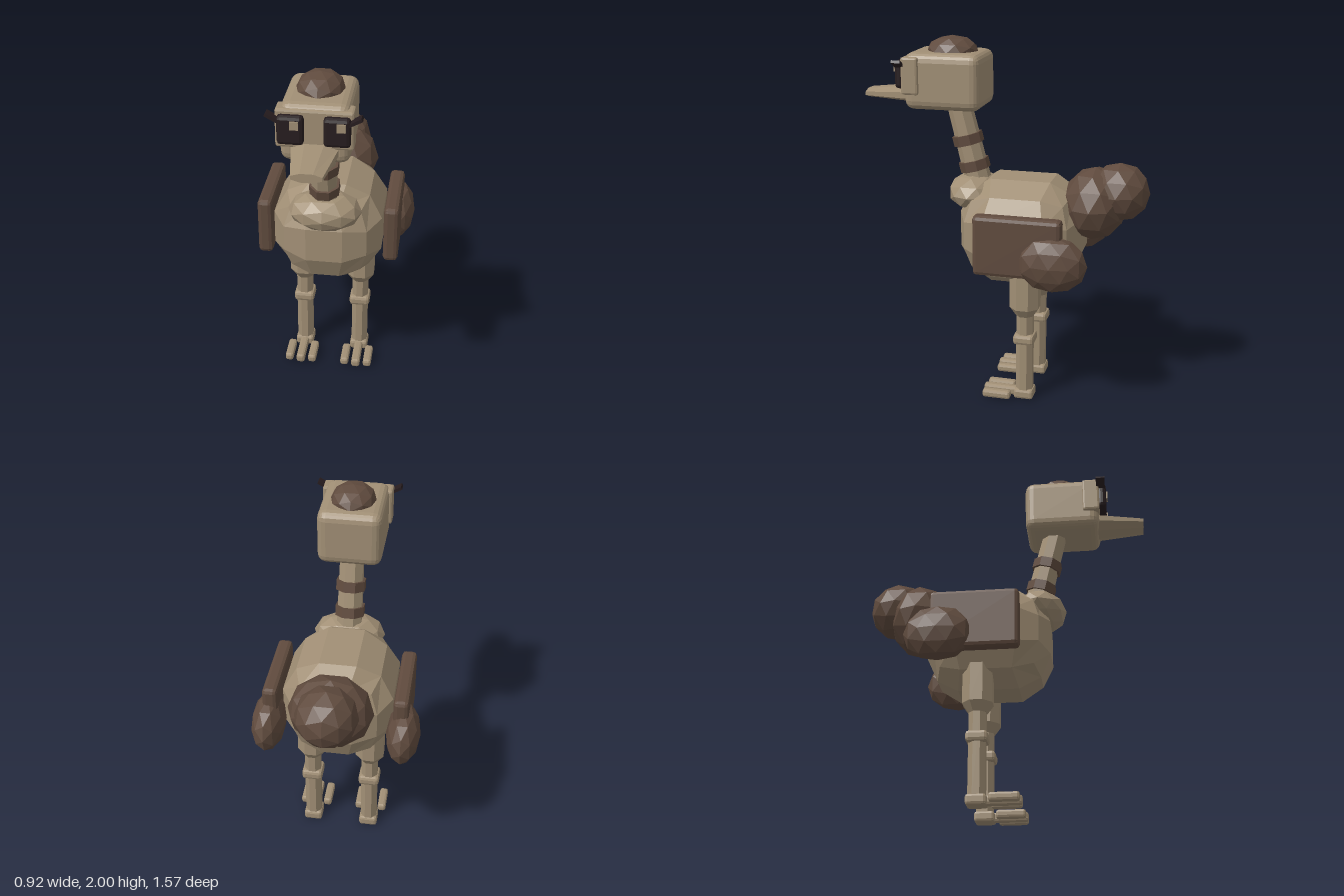
import * as THREE from 'three';
import { RoundedBoxGeometry } from 'three/addons/geometries/RoundedBoxGeometry.js';

const mat = (name, color) => {
  const m = new THREE.MeshStandardMaterial({ color });
  m.name = name;
  return m;
};

// Faceted copy of a geometry
function facet(geometry) {
  const g = geometry.index ? geometry.toNonIndexed() : geometry;
  g.computeVertexNormals();
  return g;
}

function part(parent, name, geometry, material, x = 0, y = 0, z = 0) {
  const mesh = new THREE.Mesh(facet(geometry), material);
  mesh.name = name;
  mesh.position.set(x, y, z);
  parent.add(mesh);
  return mesh;
}

const puff = (rx, ry, rz) => new THREE.IcosahedronGeometry(1, 1).scale(rx, ry, rz);
const block = (w, h, d, r, seg = 1) => new RoundedBoxGeometry(w, h, d, seg, r);

// Eight-sided post with flat faces to the front and sides; r is the half width
function post(rTop, rBottom, h) {
  const k = 1 / Math.cos(Math.PI / 8);
  return new THREE.CylinderGeometry(rTop * k, rBottom * k, h, 8).rotateY(Math.PI / 8);
}

// Cube grid rounded into a ball and lengthened along z
function bodyGeometry() {
  const g = new THREE.BoxGeometry(2, 2, 2, 3, 3, 3);
  const p = g.attributes.position;
  const v = new THREE.Vector3();
  for (let i = 0; i < p.count; i++) {
    v.fromBufferAttribute(p, i).normalize();
    p.setXYZ(i, v.x * 0.33, v.y * 0.325, Math.sign(v.z) * Math.abs(v.z) ** 0.65 * 0.36);
  }
  return g;
}

export function createModel() {
  const tan = mat('tan', 0xa18f75);
  const brown = mat('brown', 0x604b3e);
  const black = mat('black', 0x271d1f);
  const bird = new THREE.Group();
  bird.name = 'bird';

  // Body, chest and tail
  part(bird, 'body', bodyGeometry(), tan, 0, 0.953, -0.1);
  part(bird, 'chestPuff', puff(0.2, 0.105, 0.15), tan, 0, 1.15, 0.175);
  part(bird, 'tailBase', puff(0.225, 0.2, 0.175), brown, 0, 1.125, -0.495);
  part(bird, 'tailTip', puff(0.165, 0.16, 0.165), brown, 0, 1.195, -0.625);

  // Leaning neck with two bands
  const neck = new THREE.Group();
  neck.name = 'neck';
  neck.position.set(0, 1.44, 0.22);
  neck.rotation.x = Math.atan(0.25);
  bird.add(neck);
  part(neck, 'neckTube', post(0.062, 0.068, 0.5), tan, 0, -0.01, 0);
  for (const y of [0, -0.148]) part(neck, 'neckBand', post(0.078, 0.078, 0.056), brown, 0, y, 0);

  // Head, face plate and crest
  part(bird, 'head', block(0.345, 0.305, 0.42, 0.05, 2), tan, 0, 1.768, 0.32);
  part(bird, 'facePlate', block(0.38, 0.2, 0.095, 0.012), tan, 0, 1.8, 0.488);
  part(bird, 'crest', puff(0.122, 0.085, 0.142), brown, 0, 1.917, 0.3);

  // Beak, a flattened taper pointing forward
  const beak = post(1, 1, 1).rotateX(Math.PI / 2);
  const bp = beak.attributes.position;
  for (let i = 0; i < bp.count; i++) {
    const tip = bp.getZ(i) > 0;
    bp.setXYZ(i,
      bp.getX(i) * (tip ? 0.075 : 0.12),
      bp.getY(i) * (tip ? 0.023 : 0.045) + (tip ? 1.677 : 1.684),
      tip ? 0.782 : 0.5);
  }
  part(bird, 'beak', beak, tan);

  for (const s of [-1, 1]) {
    const side = s > 0 ? 'left' : 'right';

    // Eye with glint and lash
    part(bird, side + 'Eye', block(0.13, 0.15, 0.05, 0.018), black, s * 0.112, 1.805, 0.55);
    part(bird, side + 'EyeGlint', new THREE.BoxGeometry(0.042, 0.042, 0.009), tan, s * 0.112 + 0.022, 1.838, 0.579);
    const lash = part(bird, side + 'Lash', new THREE.BoxGeometry(0.075, 0.016, 0.05), black, s * 0.197, 1.864, 0.545);
    lash.rotation.z = s * 0.5;

    // Wing panel and feather puff
    part(bird, side + 'Wing', block(0.082, 0.33, 0.475, 0.022), brown, s * 0.35, 0.955, -0.145);
    part(bird, side + 'WingPuff', puff(0.093, 0.155, 0.187), brown, s * 0.365, 0.882, -0.335);

    // Leg
    const leg = new THREE.Group();
    leg.name = side + 'Leg';
    leg.position.set(s * 0.166, 0, -0.147);
    bird.add(leg);
    part(leg, 'thigh', post(0.08, 0.08, 0.21), tan, 0, 0.655, 0);
    part(leg, 'thighTaper', post(0.08, 0.048, 0.05), tan, 0, 0.525, 0);
    part(leg, 'shin', post(0.046, 0.046, 0.5), tan, 0, 0.27, 0);
    part(leg, 'knee', block(0.118, 0.06, 0.118, 0.018), tan, 0, 0.363, 0);

    // Foot with three toes
    part(leg, 'heel', block(0.105, 0.058, 0.11, 0.015), tan, 0, 0.03, 0);
    part(leg, 'middleToe', block(0.05, 0.05, 0.27, 0.014), tan, 0, 0.03, 0.099);
    for (const t of [-1, 1]) {
      part(leg, 'sideToe', block(0.048, 0.046, 0.16, 0.014), tan, t * 0.068, 0.03, 0.147);
    }
  }
  return bird;
}
